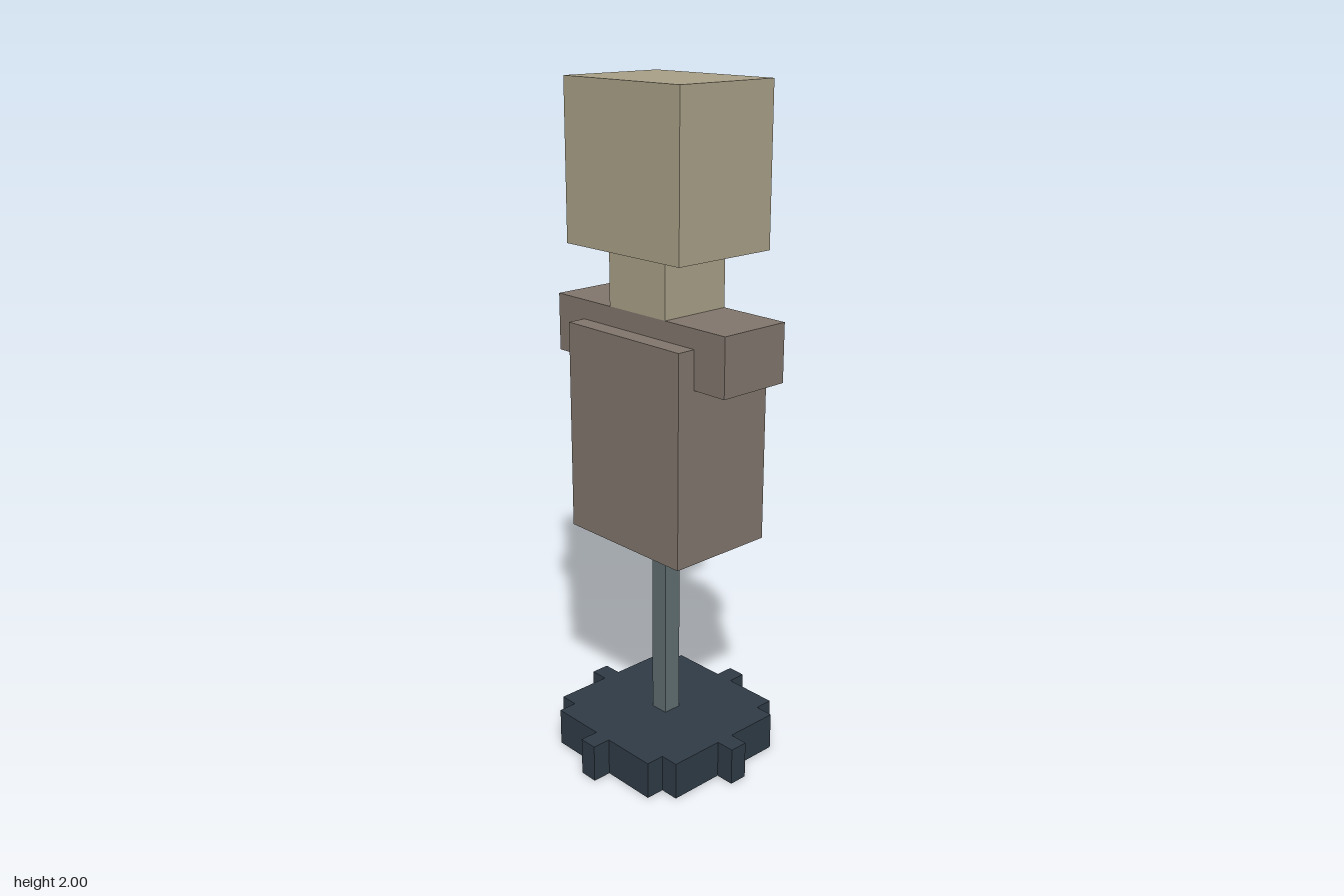
import * as THREE from 'three';

const U = 2 / 35; // one block unit: the figure is 35 blocks tall

const material = (color) => new THREE.MeshStandardMaterial({ color, flatShading: true });

// Box given by its ranges in block units
function block(name, mat, [x0, x1], [y0, y1], [z0, z1]) {
  const geometry = new THREE.BoxGeometry((x1 - x0) * U, (y1 - y0) * U, (z1 - z0) * U);
  const mesh = new THREE.Mesh(geometry, mat);
  mesh.position.set((x0 + x1) * U / 2, (y0 + y1) * U / 2, (z0 + z1) * U / 2);
  mesh.name = name;
  return mesh;
}

// Stepped disc: one quadrant of the outline, turned four times
function steppedBase(mat) {
  const quadrant = [[5.5, 0.5], [4.5, 0.5], [4.5, 3.5], [3.5, 3.5], [3.5, 4.5], [0.5, 4.5], [0.5, 5.5], [-0.5, 5.5]];
  const points = [];
  for (let i = 0; i < 4; i++) {
    for (const [x, y] of quadrant.slice(0, 7)) {
      const p = new THREE.Vector2(x * U, y * U);
      points.push(p.rotateAround(new THREE.Vector2(), i * Math.PI / 2));
    }
  }
  const geometry = new THREE.ExtrudeGeometry(new THREE.Shape(points), { depth: 2 * U, bevelEnabled: false });
  geometry.rotateX(-Math.PI / 2);
  const mesh = new THREE.Mesh(geometry, mat);
  mesh.position.x = U / 2;
  mesh.name = 'base';
  return mesh;
}

export function createModel() {
  const group = new THREE.Group();
  group.name = 'bustOnStand';
  const skin = material(0xa89f87);
  const cloth = material(0x80756c);
  const metal = material(0x5f6d70);
  const dark = material(0x2f3b45);

  group.add(
    // Stand
    steppedBase(dark),
    block('pole', metal, [0, 1], [2, 12], [-0.5, 0.5]),
    // Body
    block('torso', cloth, [-4, 4], [12, 23], [-3.5, 2.5]),
    block('shoulders', cloth, [-6, 6], [21, 24], [-2.5, 1.5]),
    // Head
    block('neck', skin, [-2, 2], [24, 27], [-2.5, 1.5]),
    block('head', skin, [-4, 4], [27, 35], [-3.5, 2.5]),
  );
  return group;
}
